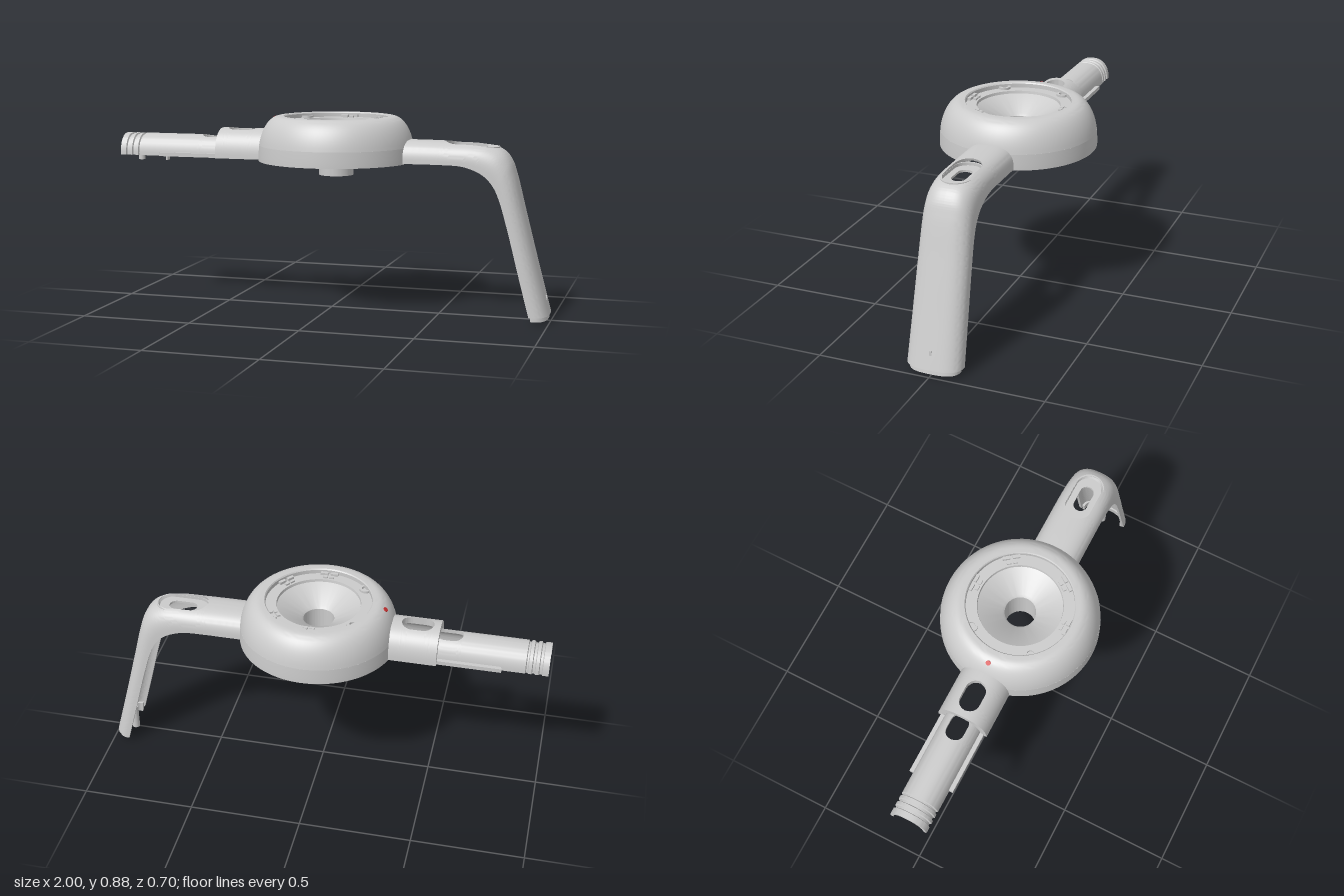
import * as THREE from 'three';
import { toCreasedNormals } from 'three/addons/utils/BufferGeometryUtils.js';

const grey = new THREE.MeshStandardMaterial({ color: 0xcccccc });
const red = new THREE.MeshStandardMaterial({ color: 0xcc3333 });
const HUB_X = 0.02;

// Half width of a rounded slot at position x
function slotWidth(x, x0, x1, r) {
  const d = Math.min(x - x0, x1 - x);
  if (d <= 0) return 0;
  return d >= r ? r : Math.sqrt(r * r - (r - d) ** 2);
}

// One side of an arched, open-bottomed shell swept through the stations.
// station: top [x, y], bottom [x, y], half width w, slot half width h
function halfShell(stations, t, n, side) {
  const K = 14, M = 2 * (K + 1), pos = [], idx = [];
  const tri = (a, b, c) => (side > 0 ? idx.push(a, b, c) : idx.push(a, c, b));
  for (const { top, bottom, w, h } of stations) {
    const dx = top[0] - bottom[0], dy = top[1] - bottom[1];
    const depth = Math.hypot(dx, dy);
    for (let j = 0; j < M; j++) {
      const inner = j > K;
      const width = inner ? w - t : w;
      const rise = inner ? 1 - t / depth : 1;
      const aMax = Math.acos(Math.min(1, h / width) ** (n / 2));
      const a = aMax * (inner ? M - 1 - j : j) / K;
      const z = width * Math.max(0, Math.cos(a)) ** (2 / n);
      const f = rise * Math.sin(a) ** (2 / n);
      pos.push(bottom[0] + dx * f, bottom[1] + dy * f, z * side);
    }
  }
  const last = (stations.length - 1) * M;
  for (let i = 0; i < last; i += M) {
    for (let j = 0; j < M; j++) {
      const k = (j + 1) % M;
      tri(i + j, i + M + j, i + M + k);
      tri(i + j, i + M + k, i + k);
    }
  }
  for (let j = 0; j < K; j++) {
    const q = [j, j + 1, M - 2 - j, M - 1 - j];
    tri(q[0], q[1], q[2]);
    tri(q[0], q[2], q[3]);
    tri(last + q[0], last + q[2], last + q[1]);
    tri(last + q[0], last + q[3], last + q[2]);
  }
  const g = new THREE.BufferGeometry();
  g.setAttribute('position', new THREE.Float32BufferAttribute(pos, 3));
  g.setIndex(idx);
  return toCreasedNormals(g, 0.6);
}

// Rounded slot outline in plan
function stadium(Type, x0, x1, r) {
  const s = new Type();
  s.absarc(x1 - r, 0, r, -Math.PI / 2, Math.PI / 2, false);
  s.absarc(x0 + r, 0, r, Math.PI / 2, Math.PI * 1.5, false);
  s.closePath();
  return s;
}

export function createModel() {
  const model = new THREE.Group();
  const add = (name, geo, x = 0, y = 0, z = 0, mat = grey) => {
    const m = new THREE.Mesh(geo, mat);
    m.name = name;
    m.position.set(x, y, z);
    model.add(m);
    return m;
  };
  const box = (name, w, h, d, x, y, z) => add(name, new THREE.BoxGeometry(w, h, d), x, y, z);
  const peg = (name, r, y0, y1, x, z) =>
    add(name, new THREE.CylinderGeometry(r, r, y1 - y0, 24), x, (y0 + y1) / 2, z);
  const shell = (name, stations, t, n) => {
    for (const s of [1, -1]) add(name + (s > 0 ? 'Front' : 'Back'), halfShell(stations, t, n, s));
  };
  const lathe = (name, pts, start = 0, len = Math.PI * 2, x = HUB_X, y = 0, z = 0) =>
    add(name, toCreasedNormals(new THREE.LatheGeometry(
      pts.map(p => new THREE.Vector2(...p)), len < 6 || x === HUB_X ? 72 : 24, start, len), 0.5), x, y, z);
  const plate = (name, outer, hole, y, h) => {
    const s = stadium(THREE.Shape, ...outer);
    s.holes.push(stadium(THREE.Path, ...hole));
    const g = new THREE.ExtrudeGeometry(s, { depth: h, bevelEnabled: false, curveSegments: 16 });
    add(name, toCreasedNormals(g.rotateX(-Math.PI / 2), 0.6), 0, y, 0);
  };
  // Straight arm stations with level bottom
  const straight = (x0, x1, count, rule) => Array.from({ length: count + 1 }, (_, i) => {
    const x = x0 + (x1 - x0) * i / count, r = rule(x);
    return { top: [x, r.top], bottom: [x, 0.678], w: r.w, h: r.h };
  });

  // Hub: domed shoulder, recessed ring, funnel and centre tube
  const dome = [];
  for (let i = 0; i <= 14; i++) {
    const a = 0.26 + (Math.PI / 2 - 0.26) * i / 14;
    dome.push([0.255 + 0.095 * Math.cos(a), 0.7 + 0.175 * Math.sin(a)]);
  }
  lathe('hubDome', [...dome, [0.237, 0.875], [0.233, 0.87], [0.233, 0.852], [0.185, 0.852],
    [0.183, 0.84], [0.078, 0.782], [0.068, 0.772], [0.067, 0.61], [0.077, 0.61], [0.081, 0.77],
    [0.18, 0.826], [0.235, 0.838], [0.262, 0.848], [0.3, 0.815], [0.32, 0.77], [0.325, 0.745], dome[0]]);

  // Lower hub wall, left open where the arms join
  const gap = 0.28;
  for (const s of [-1, 1]) {
    lathe('hubSkirt', [[0.35, 0.675], [0.35, 0.7], dome[0], [0.325, 0.745], [0.33, 0.675], [0.35, 0.675]],
      s * Math.PI / 2 + gap, Math.PI - 2 * gap);
  }

  // Screw bosses with hollow posts
  for (const z of [-0.14, 0.14]) {
    lathe('screwBoss', [[0.027, 0.7], [0.027, 0.862], [0.016, 0.862], [0.014, 0.7], [0.027, 0.7]],
      0, Math.PI * 2, -0.16, 0, z);
  }
  lathe('hubPost', [[0.022, 0.68], [0.024, 0.77], [0.012, 0.77], [0.012, 0.68], [0.022, 0.68]],
    0, Math.PI * 2, 0.3, 0, 0);

  // Clips around the recessed ring
  for (const deg of [90, 270, 37, -37]) {
    const clip = new THREE.Group();
    clip.name = 'ringClip';
    for (const [r, w, h] of [[0.222, 0.08, 0.012], [0.2, 0.05, 0.008]]) {
      for (const s of [-1, 1]) {
        const m = new THREE.Mesh(new THREE.BoxGeometry(0.014, h, w * 0.42), grey);
        m.position.set(r, 0.852 + h / 2, s * w * 0.28);
        clip.add(m);
      }
    }
    clip.position.x = HUB_X;
    clip.rotation.y = deg * Math.PI / 180;
    model.add(clip);
  }

  // Indicator dot on the shoulder
  add('indicatorDot', new THREE.CylinderGeometry(0.011, 0.011, 0.006, 20), -0.275, 0.859, 0, red)
    .rotation.z = 0.7;

  // Bent arm and leg
  const curve = pts => new THREE.CatmullRomCurve3(pts.map(p => new THREE.Vector3(p[0], p[1], 0)));
  const topLine = curve([[0.32, 0.777], [0.44, 0.777], [0.56, 0.775], [0.67, 0.772], [0.735, 0.762], [0.785, 0.738],
    [0.815, 0.7], [0.835, 0.645], [0.88, 0.47], [0.937, 0.25], [0.996, 0.03]]);
  const lowLine = curve([[0.32, 0.68], [0.42, 0.68], [0.52, 0.68], [0.61, 0.676], [0.665, 0.661], [0.713, 0.635],
    [0.75, 0.595], [0.777, 0.54], [0.817, 0.41], [0.867, 0.22], [0.918, 0.03]]);
  const leg = [];
  for (let i = 0; i <= 260; i++) {
    const t = topLine.getPoint(i / 260), b = lowLine.getPoint(i / 260);
    leg.push({ top: [t.x, t.y], bottom: [b.x, b.y], w: 0.11 + 0.013 * Math.max(0, (0.7 - t.y) / 0.67),
      h: t.y > 0.7 ? slotWidth(t.x, 0.525, 0.755, 0.06) : 0 });
  }
  shell('legArm', leg, 0.012, 2.7);

  // Recessed slot in the arm
  plate('slotRim', [0.518, 0.762, 0.066], [0.525, 0.755, 0.059], 0.735, 0.023);
  plate('slotFloor', [0.52, 0.76, 0.064], [0.578, 0.705, 0.031], 0.735, 0.01);

  // Leg tip: inset lip and locating pin
  shell('legLip', [[0.98, 0.92, 0.06], [0.99, 0.925, 0.01]].map(([t, b, y]) =>
    ({ top: [t, y], bottom: [b, y], w: 0.11, h: 0 })), 0.012, 2.7);
  peg('legPin', 0.018, 0, 0.12, 0.927, 0);
  box('legPinWeb', 0.05, 0.08, 0.01, 0.955, 0.07, 0);

  // Straight slim arm with grip grooves and a slot
  shell('slimArm', straight(-1, -0.5, 150, x => {
    const groove = [-0.965, -0.935, -0.907].some(g => Math.abs(x - g) < 0.006) ? 0.007 : 0;
    return { top: 0.775 - groove, w: 0.085 - groove, h: slotWidth(x, -0.62, -0.5, 0.04) };
  }), 0.014, 2.3);
  for (const s of [-1, 1]) box('slimArmFlange', 0.29, 0.018, 0.025, -0.655, 0.687, s * 0.09);

  // Thicker sleeve between slim arm and hub
  shell('sleeve', straight(-0.52, -0.29, 90, x =>
    ({ top: 0.81, w: 0.115, h: slotWidth(x, -0.49, -0.35, 0.045) })), 0.028, 2.4);

  // Pins and ribs inside the slim arm
  peg('slimArmPin', 0.015, 0.65, 0.768, -0.93, 0);
  box('slimArmTab', 0.008, 0.115, 0.03, -0.8, 0.708, 0);
  for (const x of [-0.88, -0.7]) box('slimArmRib', 0.01, 0.05, 0.1, x, 0.735, 0);

  return model;
}
